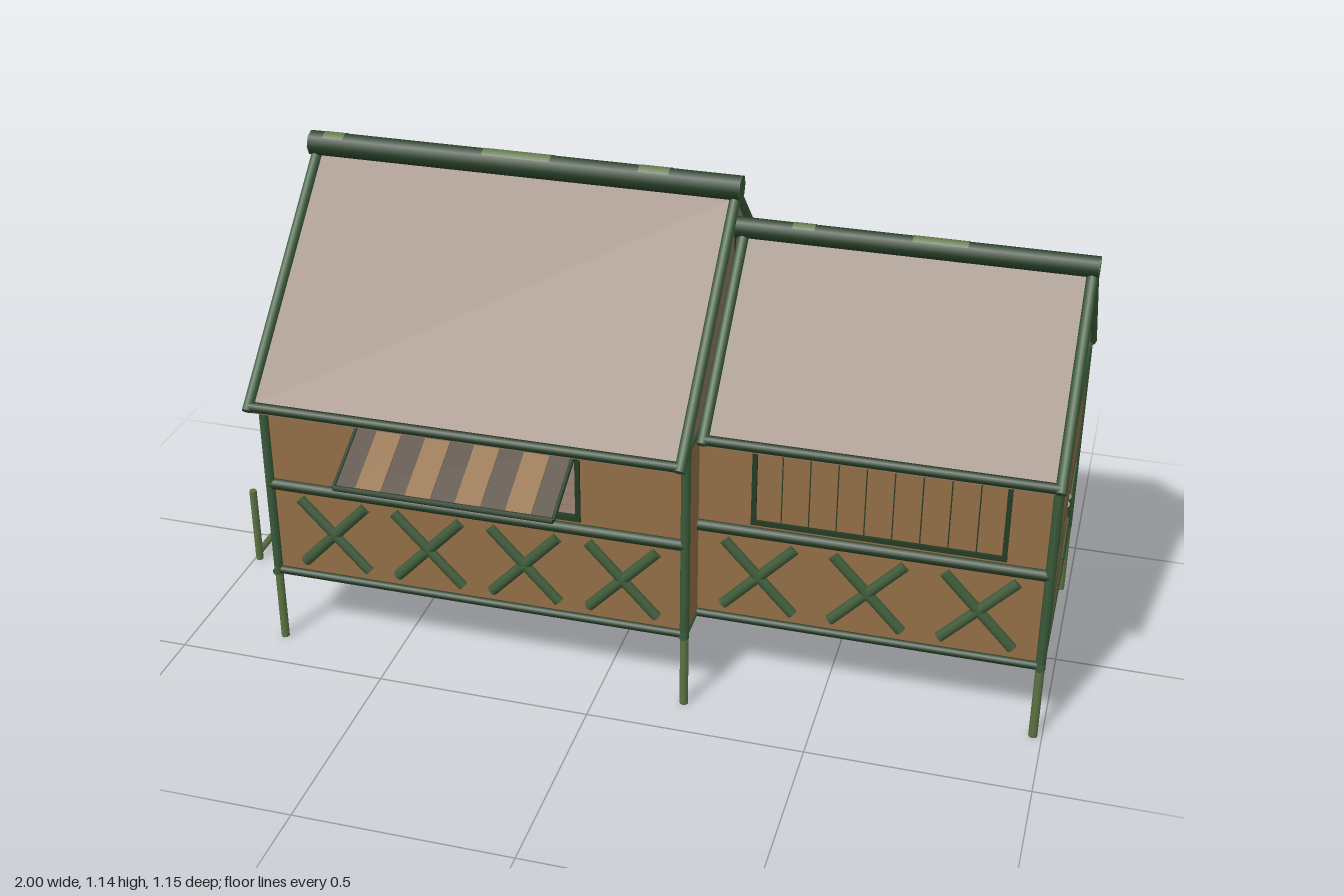
import * as THREE from 'three';

const mat = (name, color) => new THREE.MeshStandardMaterial({ name, color, side: THREE.DoubleSide });

export function createModel() {
  const model = new THREE.Group();
  model.name = 'stiltHouse';
  const wood = mat('tanWood', 0x926f46);
  const thatch = mat('taupeThatch', 0x8a7667);
  const shade = mat('shadedBoard', 0x55483d);
  const green = mat('bambooGreen', 0x3a5a3a);
  const dark = mat('darkBamboo', 0x253b25);
  const moss = mat('mossBamboo', 0x3f5b39);
  const olive = mat('oliveBamboo', 0x5c7343);

  const add = (name, geo, material, parent = model) => {
    const m = new THREE.Mesh(geo, material);
    m.name = name;
    parent.add(m);
    return m;
  };
  const box = (name, w, h, d, x, y, z, material, parent) => {
    const m = add(name, new THREE.BoxGeometry(w, h, d), material, parent);
    m.position.set(x, y, z);
    return m;
  };
  // Round pole between two points
  const pole = (name, a, b, r, material, parent) => {
    const p = new THREE.Vector3(...a), q = new THREE.Vector3(...b);
    const m = add(name, new THREE.CylinderGeometry(r, r, p.distanceTo(q), 8), material, parent);
    m.position.copy(p).add(q).multiplyScalar(0.5);
    m.quaternion.setFromUnitVectors(new THREE.Vector3(0, 1, 0), q.sub(p).normalize());
    return m;
  };
  // Crossed poles lying against a wall; u is the wall's horizontal axis
  const cross = (point, u, y, du, dy, r, parent) => {
    pole('crossBrace', point(u - du, y - dy), point(u + du, y + dy), r, moss, parent);
    pole('crossBrace', point(u - du, y + dy), point(u + du, y - dy), r, moss, parent);
  };
  // Extrude a (z, y) outline along x
  const alongX = (name, pts, x0, x1, material, parent) => {
    const s = new THREE.Shape(pts.map(p => new THREE.Vector2(...p)));
    const g = new THREE.ExtrudeGeometry(s, { depth: x1 - x0, bevelEnabled: false });
    g.rotateY(Math.PI / 2).translate(x0, 0, 0);
    return add(name, g, material, parent);
  };

  const halls = [
    { name: 'mainHall', x0: -0.785, x1: 0.2, zw: 0.39, roof0: -0.785, eaveZ: 0.465, eaveY: 0.66, apex: 1.085,
      ridgeY: 1.107, ridgeR: 0.03, rx0: -0.798, rx1: 0.216, win: [-0.545, -0.045], open: true,
      braces: [-0.634, -0.404, -0.174, 0.056], posts: [-0.785, 0.2], ends: [-0.785, 0.2],
      patches: [[-0.74, 0.05], [-0.3, 0.16], [0.02, 0.07]] },
    { name: 'sideHall', x0: 0.2, x1: 0.98, zw: 0.297, roof0: 0.225, eaveZ: 0.355, eaveY: 0.67, apex: 0.995,
      ridgeY: 1.015, ridgeR: 0.025, rx0: 0.208, rx1: 0.997, win: [0.33, 0.88], open: false,
      braces: [0.345, 0.59, 0.835], posts: [0.98], ends: [0.98],
      patches: [[0.36, 0.05], [0.66, 0.12]] },
  ];

  for (const h of halls) {
    const g = new THREE.Group();
    g.name = h.name;
    model.add(g);
    const [w0, w1] = h.win, wy0 = 0.45, wy1 = 0.635;

    for (const s of [-1, 1]) {
      // Long wall with window opening
      const shape = new THREE.Shape([[h.x0, 0.19], [h.x1, 0.19], [h.x1, 0.66], [h.x0, 0.66]]
        .map(p => new THREE.Vector2(...p)));
      shape.holes.push(new THREE.Path([[w0, wy0], [w0, wy1], [w1, wy1], [w1, wy0]]
        .map(p => new THREE.Vector2(...p))));
      const wall = add('longWall', new THREE.ExtrudeGeometry(shape, { depth: 0.01, bevelEnabled: false }), wood, g);
      wall.position.z = s * h.zw - 0.005;

      // Window frame
      const zf = s * (h.zw + 0.004), wm = (w0 + w1) / 2, wl = w1 - w0;
      for (const y of [wy0, wy1]) box('windowFrame', wl + 0.012, 0.011, 0.014, wm, y, zf, dark, g);
      for (const x of [w0, w1]) box('windowFrame', 0.011, wy1 - wy0, 0.014, x, (wy0 + wy1) / 2, zf, dark, g);

      // Horizontal rails and cross braces
      const zr = s * (h.zw + 0.008), zb = s * (h.zw + 0.005);
      pole('sillBeam', [h.x0, 0.19, zr], [h.x1 + 0.008, 0.19, zr], 0.01, dark, g);
      pole('middleRail', [h.x0, 0.423, zb], [h.x1, 0.423, zb], 0.014, dark, g);
      pole('topBeam', [h.x0, 0.655, zr], [h.x1, 0.655, zr], 0.011, dark, g);
      for (const x of h.braces) cross((u, y) => [u, y, zb], x, 0.308, 0.08, 0.085, 0.013, g);

      // Stilts
      for (const x of h.posts) {
        pole('cornerPost', [x, 0.18, zr], [x, 0.675, zr], 0.011, green, g);
        pole('stilt', [x, 0, zr], [x, 0.18, zr], 0.01, olive, g);
      }

      // Roof edge poles
      pole('eavePole', [h.roof0, h.eaveY, s * h.eaveZ], [h.x1 + 0.005, h.eaveY, s * h.eaveZ], 0.012, dark, g);
      for (const x of [h.roof0, h.x1 + 0.005])
        pole('rakePole', [x, h.apex + 0.01, 0], [x, h.eaveY - 0.008, s * (h.eaveZ + 0.008)], 0.0125, green, g);

      // Window covering: awning when open, planks when closed
      if (h.open) {
        const awning = new THREE.Group();
        awning.name = 'awning';
        awning.position.set(wm, 0.632, s * (h.zw + 0.02));
        awning.rotation.set(0.475, s < 0 ? Math.PI : 0, 0, 'YXZ');
        g.add(awning);
        const len = 0.18;
        box('awningPanel', wl, 0.004, len, 0, 0, len / 2, shade, awning);
        for (let i = 0; i < 4; i++)
          box('awningBoard', 0.058, 0.009, len, -0.171 + i * 0.114, 0, len / 2, wood, awning);
        pole('awningEdge', [-wl / 2, 0, len], [wl / 2, 0, len], 0.007, dark, awning);
        for (const x of [-wl / 2, wl / 2]) pole('awningEdge', [x, 0, 0], [x, 0, len], 0.005, dark, awning);
      } else {
        box('shutterBacking', wl, wy1 - wy0, 0.004, wm, (wy0 + wy1) / 2, s * (h.zw - 0.002), dark, g);
        const n = 9, pw = wl / n;
        for (let i = 0; i < n; i++)
          box('shutterPlank', pw - 0.003, wy1 - wy0, 0.008, w0 + (i + 0.5) * pw, (wy0 + wy1) / 2, s * h.zw, wood, g);
      }
    }

    // Floor planks with narrow gaps, and one joist
    const planks = h.open ? 16 : 20, pz = 2 * h.zw / planks, xm = (h.x0 + h.x1) / 2;
    for (let i = 0; i < planks; i++)
      box('floorPlank', h.x1 - h.x0, 0.01, pz - (h.open ? 0.003 : 0.009), xm, 0.19, -h.zw + (i + 0.5) * pz, thatch, g);
    box('floorJoist', 0.012, 0.006, 2 * h.zw, xm, 0.184, 0, dark, g);

    // End walls, end beams and gables
    for (const x of h.ends) {
      const out = x < 0 ? -1 : 1;
      box('endWall', 0.01, 0.47, 2 * h.zw, x, 0.425, 0, wood, g);
      pole('endSill', [x, 0.19, -h.zw - 0.024], [x, 0.19, h.zw + 0.024], 0.009, green, g);
      pole('gableBeam', [x, 0.663, -h.eaveZ + 0.01], [x, 0.663, h.eaveZ - 0.01], 0.01, green, g);
      alongX('gable', [[-h.eaveZ, h.eaveY], [h.eaveZ, h.eaveY], [0, h.apex]], x - 0.004, x + 0.004, thatch, g);
      pole('gablePost', [x + out * 0.003, 0.66, 0], [x + out * 0.003, h.apex, 0], 0.004, dark, g);
    }

    // Thatched roof and ridge log with mossy patches
    const t = 0.016;
    alongX('roof', [[-h.eaveZ, h.eaveY], [0, h.apex], [h.eaveZ, h.eaveY], [h.eaveZ, h.eaveY - t],
      [0, h.apex - t], [-h.eaveZ, h.eaveY - t]].reverse(), h.roof0, h.x1 + 0.005, thatch, g);
    pole('ridgeLog', [h.rx0, h.ridgeY, 0], [h.rx1, h.ridgeY, 0], h.ridgeR, dark, g);
    for (const [x, o] of [[h.rx0, -1], [h.rx1, 1]])
      pole('ridgeCap', [x, h.ridgeY, 0], [x + o * 0.002, h.ridgeY, 0], h.ridgeR, green, g);
    for (const [x, len] of h.patches) {
      const r = h.ridgeR + 0.001;
      const arc = new THREE.CylinderGeometry(r, r, len, 3, 1, true, 0, Math.PI * 0.75);
      arc.rotateZ(Math.PI / 2).rotateX(-Math.PI / 4);
      add('ridgeMoss', arc, olive, g).position.set(x, h.ridgeY, 0);
    }
  }

  // Braces on the side hall's end wall, partly sunk into it
  for (const z of [-0.15, -0.185]) cross((u, y) => [0.981, y, u], z, 0.307, 0.078, 0.075, 0.009);
  pole('endBrace', [0.981, 0.385, 0.06], [0.981, 0.235, 0.22], 0.007, moss);
  pole('endRail', [0.98, 0.415, -0.297], [0.98, 0.415, 0.297], 0.006, green);

  // Door on the main hall's outer end
  box('door', 0.008, 0.43, 0.19, -0.792, 0.41, 0, wood);
  for (const z of [-0.1, 0.1]) box('doorFrame', 0.014, 0.445, 0.012, -0.793, 0.413, z, dark);
  box('doorFrame', 0.014, 0.012, 0.21, -0.793, 0.635, 0, dark);

  // Prop for the rear awning
  pole('awningProp', [-0.06, 0.46, -0.4], [-0.06, 0.57, -0.525], 0.0025, dark);

  // Entry steps: pairs of posts, each carrying a rung
  const steps = [[-0.989, 0, 0.2, 0.02], [-0.937, 0.02, 0.23, 0.062], [-0.885, 0.015, 0.25, 0.108], [-0.832, 0, 0.275, 0.152]];
  for (const [x, y0, y1, ry] of steps) {
    const step = new THREE.Group();
    step.name = 'entryStep';
    model.add(step);
    for (const z of [-0.105, 0.105]) pole('stepPost', [x, y0, z], [x, y1, z], 0.0095, olive, step);
    pole('stepRung', [x, ry, -0.11], [x, ry, 0.11], 0.0085, olive, step);
  }
  return model;
}
